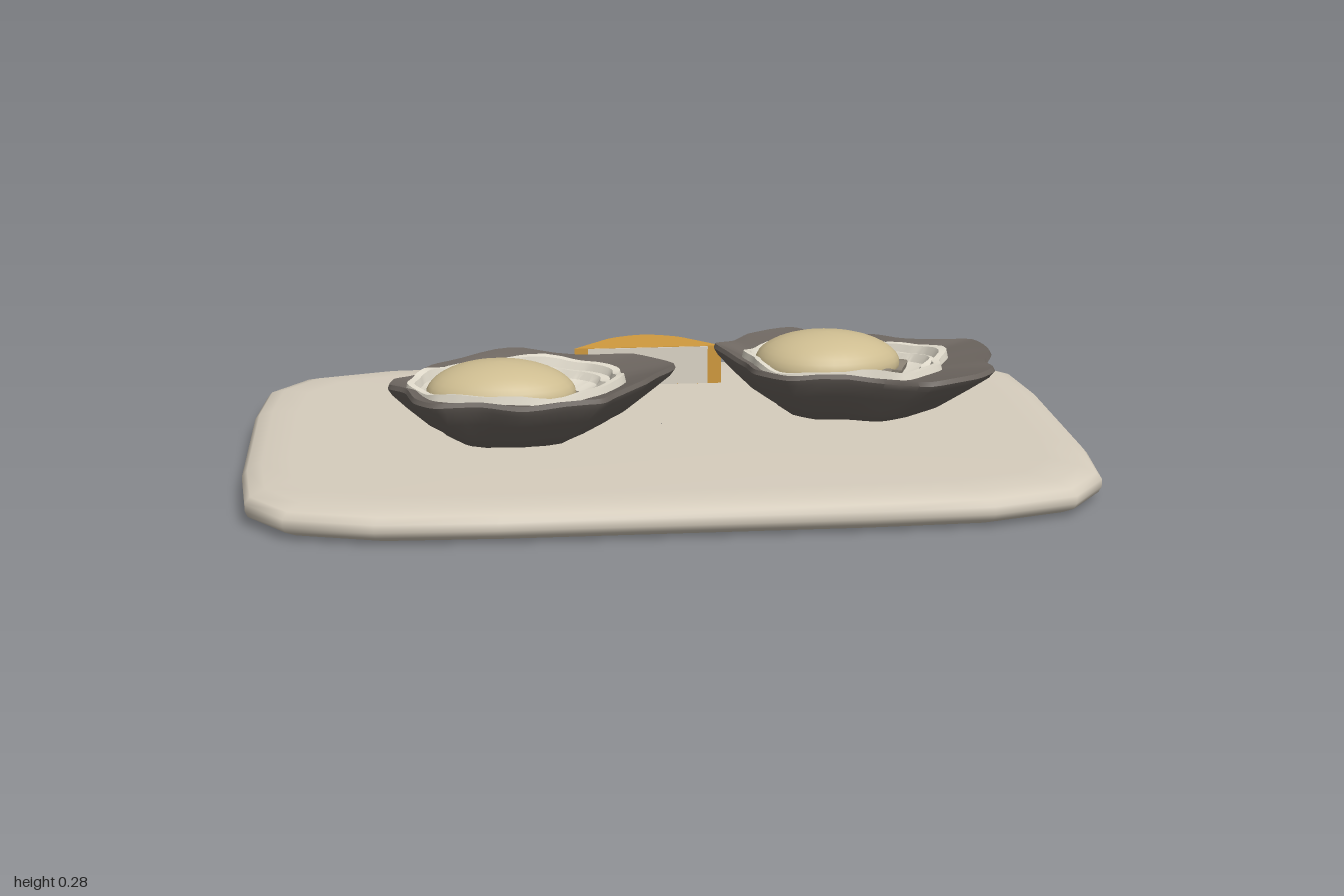
import * as THREE from 'three';
import { toCreasedNormals } from 'three/addons/utils/BufferGeometryUtils.js';

const mat = (name, color, side = THREE.FrontSide) => {
  const m = new THREE.MeshStandardMaterial({ color, side });
  m.name = name;
  return m;
};

// Skin a stack of closed rings, each an array of Vector3 running from +x to +z
function loft(rings, crease = 0) {
  const n = rings[0].length, pos = [], idx = [];
  rings.forEach(r => r.forEach(p => pos.push(p.x, p.y, p.z)));
  for (let i = 0; i < rings.length - 1; i++) for (let j = 0; j < n; j++) {
    const k = (j + 1) % n, a = i * n + j, b = i * n + k;
    idx.push(a, a + n, b, b, a + n, b + n);
  }
  const g = new THREE.BufferGeometry();
  g.setAttribute('position', new THREE.Float32BufferAttribute(pos, 3));
  g.setIndex(idx);
  g.computeVertexNormals();
  return crease ? toCreasedNormals(g, crease) : g;
}

const OYSTERS = [
  {
    name: 'rightOyster', center: [-0.36, 0.08], nacre: [-0.365, 0.07, 0.26, 0.195],
    flesh: [-0.395, 0.10, 0.178, 0.13, 0.077], phase: 0.4,
    outline: [[-.33, -.20], [-.17, -.14], [-.05, -.14], [.04, -.05], [-.01, .06], [-.05, .15], [-.13, .24], [-.17, .29],
      [-.34, .31], [-.44, .30], [-.55, .30], [-.60, .25], [-.62, .17], [-.66, .11], [-.65, .03], [-.60, 0], [-.56, -.07], [-.46, -.15]],
  },
  {
    name: 'leftOyster', center: [0.44, -0.08], nacre: [0.445, -0.07, 0.245, 0.19],
    flesh: [0.42, -0.10, 0.18, 0.134, 0.081], phase: 2.1,
    outline: [[.37, -.35], [.43, -.31], [.56, -.28], [.63, -.23], [.73, -.19], [.81, -.17], [.83, -.06], [.80, .02], [.81, .07],
      [.75, .14], [.63, .20], [.50, .15], [.30, .13], [.22, .06], [.21, -.04], [.18, -.12], [.15, -.20], [.20, -.22], [.25, -.30]],
  },
];

export function createModel() {
  const group = new THREE.Group();
  const stone = mat('platterStone', 0xd6cdbd);
  const shellGrey = mat('shellGrey', 0x6c655f, THREE.DoubleSide);
  const nacre = mat('nacreCream', 0xe2dccd, THREE.DoubleSide);
  const fleshTan = mat('oysterTan', 0xcdbc90);
  const frillGrey = mat('frillGrey', 0x877f72, THREE.DoubleSide);
  const rind = mat('lemonRind', 0xd09a3e);
  const pith = mat('lemonPith', 0xddd5c7, THREE.DoubleSide);

  const add = (parent, name, geo, material) => {
    const m = new THREE.Mesh(geo, material);
    m.name = name;
    parent.add(m);
    return m;
  };

  // Platter: rounded rectangle mirrored from one corner, with a soft edge
  const corner = [[1, .24], [.98, .45], [.89, .57], [.69, .63], [.42, .64]];
  const flip = (pts, sx, sz) => pts.map(([x, z]) => [x * sx, z * sz]);
  const back = [...corner].reverse();
  const rim = [...corner, ...flip(back, -1, 1), ...flip(corner, -1, -1), ...flip(back, 1, -1)];
  const edge = [[.999, 0], [.07, 0], [.03, .004], [.006, .018], [0, .032], [0, .05], [.012, .064], [.045, .075], [.11, .08], [.999, .08]];
  add(group, 'platter', loft(edge.map(([inset, y]) => rim.map(([x, z]) =>
    new THREE.Vector3(x * (1 - inset), y, z * (1 - Math.min(inset / .64, .999)))))), stone);

  // Oysters
  for (const o of OYSTERS) {
    const oyster = new THREE.Group();
    oyster.name = o.name;
    group.add(oyster);
    const [cx, cz] = o.center;
    const curve = new THREE.CatmullRomCurve3(o.outline.map(([x, z]) => new THREE.Vector3(x, 0, z)), true, 'catmullrom', 0.3);
    const pts = curve.getPoints(72).slice(0, 72);
    const wave = (a, k) => Math.sin(k * a + o.phase);

    // Scaled copy of the shell outline with a gently uneven height
    const outer = (s, y, wobble) => pts.map(p => {
      const a = Math.atan2(p.z - cz, p.x - cx);
      return new THREE.Vector3(cx + (p.x - cx) * s, y + wobble * (wave(a, 3) + .6 * wave(a, 7)), cz + (p.z - cz) * s);
    });
    // Rippled oval for the inner layers, partly following the shell outline
    const [nx, nz, rx, rz] = o.nacre;
    const inner = (s, y, ripple, lift) => pts.map(p => {
      const a = Math.atan2((p.z - nz) / rz, (p.x - nx) / rx);
      const r = s * (1 + ripple * (wave(a, 5) + .6 * wave(a, 11)));
      const x = .6 * rx * Math.cos(a) + .4 * .76 * (p.x - nx);
      const z = .6 * rz * Math.sin(a) + .4 * .76 * (p.z - nz);
      return new THREE.Vector3(nx + x * r, y + lift * (wave(a, 4) + .5 * wave(a, 9)), nz + z * r);
    });

    add(oyster, 'shell', loft([outer(.01, .079, 0), outer(.38, .08, 0), outer(.52, .092, .002), outer(.68, .12, .003),
      outer(.85, .165, .003), outer(.97, .2, .005), outer(1, .215, .005), outer(.985, .226, .005),
      outer(.9, .22, .004), inner(1, .208, .02, .003)], .6), shellGrey);
    add(oyster, 'nacreBowl', loft([inner(1.02, .205, .025, .003), inner(1, .226, .025, .006), inner(.93, .224, .025, .005),
      inner(.9, .205, .02, .003), inner(.83, .207, .04, .004), inner(.79, .188, .04, .002), inner(.6, .165, .02, 0),
      inner(.01, .15, 0, 0)], .6), nacre);

    // Flesh resting in a ruffled mantle
    const [fx, fz, fw, fd, fh] = o.flesh;
    const ruffle = (s, y, amp) => Array.from({ length: 64 }, (_, i) => {
      const a = i / 64 * Math.PI * 2, r = s * (1 + amp * (wave(a, 6) + .7 * wave(a, 13)));
      return new THREE.Vector3(fx + .012 + fw * r * Math.cos(a), y + .006 * wave(a, 8), fz + .008 + fd * r * Math.sin(a));
    });
    add(oyster, 'mantleFrill', loft([ruffle(.85, .16, 0), ruffle(1.02, .18, .025), ruffle(1.03, .194, .03), ruffle(.85, .198, 0)], .7), frillGrey);

    const body = new THREE.SphereGeometry(1, 32, 20);
    const v = body.attributes.position;
    for (let i = 0; i < v.count; i++) {
      const x = v.getX(i), y = v.getY(i), z = v.getZ(i);
      const swell = 1 + .03 * Math.sin(3 * Math.atan2(z, x) + o.phase) * (1 - y * y);
      v.setXYZ(i, x * fw * swell, y * fh, (z + .06 * x) * fd * swell);
    }
    body.computeVertexNormals();
    add(oyster, 'flesh', body, fleshTan).position.set(fx, .199, fz);
  }

  // Lemon wedge: curved rind standing upright with a pale cut face
  const lemon = new THREE.Group();
  lemon.name = 'lemonWedge';
  group.add(lemon);
  const profile = new THREE.Shape();
  profile.moveTo(-.19, .367);
  profile.lineTo(.19, .367);
  profile.splineThru([[.13, .43], [.08, .475], [0, .5], [-.08, .475], [-.13, .43], [-.19, .367]].map(p => new THREE.Vector2(...p)));
  const wedge = new THREE.ExtrudeGeometry(profile, { depth: .1, bevelEnabled: false, curveSegments: 20 });
  wedge.rotateX(-Math.PI / 2);
  add(lemon, 'rind', toCreasedNormals(wedge, .6), rind).position.y = .08;
  add(lemon, 'cutFace', new THREE.BoxGeometry(.31, .098, .005), pith).position.set(0, .13, -.366);

  return group;
}
